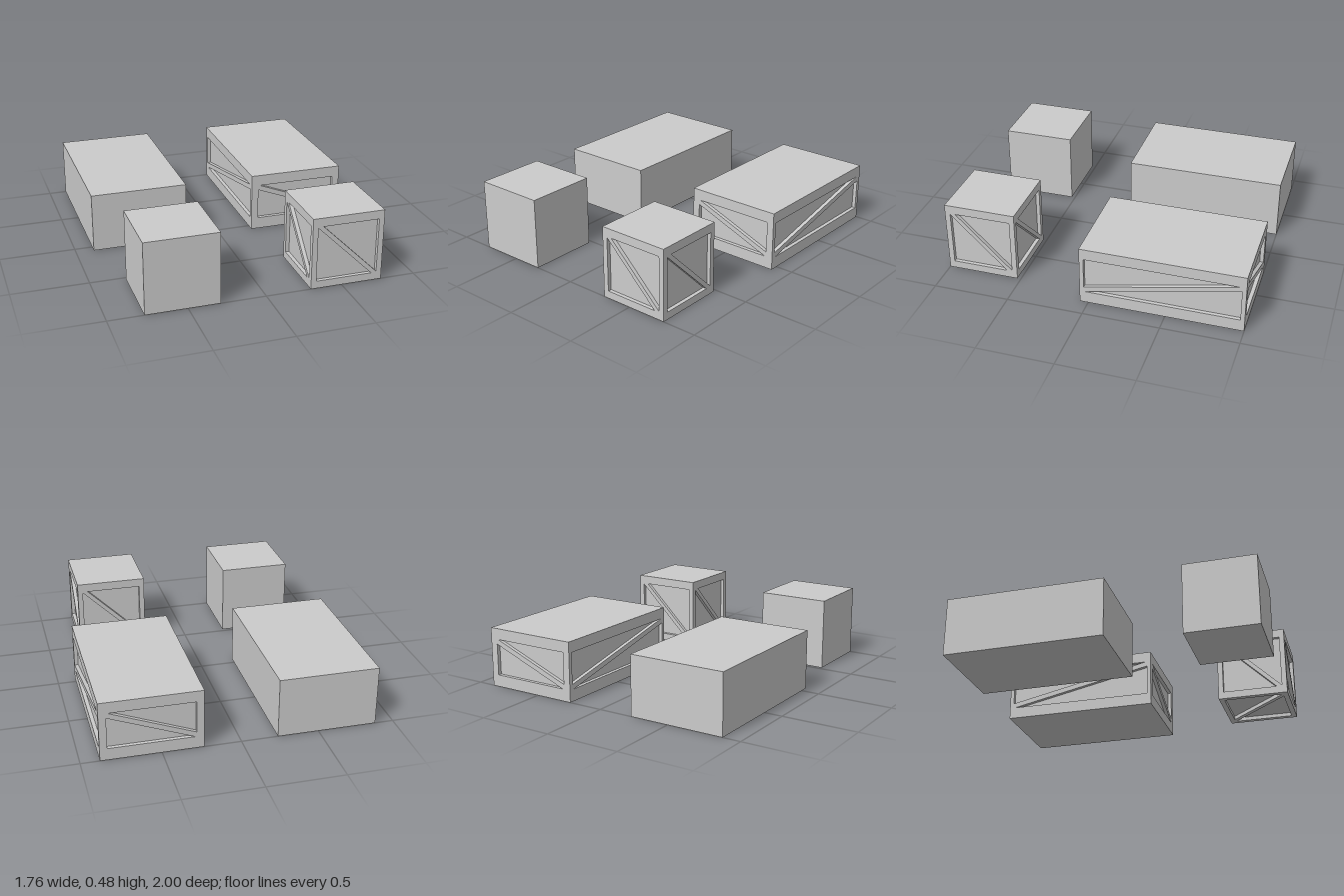
import * as THREE from 'three';
import { mergeGeometries } from 'three/addons/utils/BufferGeometryUtils.js';

const material = new THREE.MeshStandardMaterial({ color: 0xcccccc, flatShading: true });
const DEPTH = 0.025;

function named(geometry, name) {
  const mesh = new THREE.Mesh(geometry, material);
  mesh.name = name;
  return mesh;
}

// Two triangular recesses left and right of a diagonal brace.
// The brace runs top left to bottom right, or the other way when flipped.
function braceRecesses(x0, x1, y0, y1, gapX, gapY, flip = false) {
  const triangles = [
    [[x1, y1], [x0 + gapX, y1], [x1, y0 + gapY]],
    [[x0, y0], [x1 - gapX, y0], [x0, y1 - gapY]],
  ];
  return triangles.map((t) => {
    const points = t.map(([x, y]) => new THREE.Vector2(flip ? -x : x, y));
    return flip ? points.reverse() : points;
  });
}

// One crate face in the xy plane facing +z, with recesses sunk into it
function panelGeometry(w, h, recesses) {
  const face = new THREE.Shape();
  face.moveTo(-w / 2, -h / 2).lineTo(w / 2, -h / 2).lineTo(w / 2, h / 2).lineTo(-w / 2, h / 2).closePath();
  face.holes = recesses.map((points) => new THREE.Path(points));
  const parts = [new THREE.ShapeGeometry(face)];
  const walls = [];
  for (const points of recesses) {
    parts.push(new THREE.ShapeGeometry(new THREE.Shape(points)).translate(0, 0, -DEPTH));
    points.forEach((a, i) => {
      const b = points[(i + 1) % points.length];
      walls.push(a.x, a.y, 0, b.x, b.y, 0, b.x, b.y, -DEPTH);
      walls.push(a.x, a.y, 0, b.x, b.y, -DEPTH, a.x, a.y, -DEPTH);
    });
  }
  const flat = parts.map((g) => g.toNonIndexed().deleteAttribute('uv'));
  if (walls.length) {
    const wall = new THREE.BufferGeometry();
    wall.setAttribute('position', new THREE.Float32BufferAttribute(walls, 3));
    wall.computeVertexNormals();
    flat.push(wall);
  }
  return mergeGeometries(flat);
}

// Crate from six panels, resting on y = 0
function makeCrate(name, w, h, d, endRecesses, sideRecesses, bottomRecesses) {
  const crate = new THREE.Group();
  crate.name = name;
  ['frontPanel', 'leftPanel', 'backPanel', 'rightPanel'].forEach((label, i) => {
    const isSide = i % 2 === 1;
    const geometry = panelGeometry(isSide ? d : w, h, isSide ? sideRecesses : endRecesses);
    geometry.translate(0, h / 2, (isSide ? w : d) / 2).rotateY((i * Math.PI) / 2);
    crate.add(named(geometry, label));
  });
  crate.add(named(panelGeometry(w, d, []).rotateX(-Math.PI / 2).translate(0, h, 0), 'lid'));
  crate.add(named(panelGeometry(w, d, bottomRecesses).rotateX(Math.PI / 2), 'bottomPanel'));
  return crate;
}

// Plain box resting on y = 0
function makeBox(name, w, h, d) {
  return named(new THREE.BoxGeometry(w, h, d).translate(0, h / 2, 0), name);
}

export function createModel() {
  const model = new THREE.Group();
  model.name = 'crates';
  const S = 0.476;
  const [W, H, L] = [0.645, 0.395, 1.055];
  const smallX = 0.532, smallZ = 1 - S / 2;
  const largeX = 0.558, largeZ = -1 + L / 2;

  // Small cubic crate: braced on four sides and underneath
  const smallSide = braceRecesses(-0.203, 0.203, -0.188, 0.18, 0.035, 0.006);
  const smallBottom = braceRecesses(-0.203, 0.203, -0.203, 0.203, 0.035, 0.006);
  const smallCrate = makeCrate('smallCrate', S, S, S, smallSide, smallSide, smallBottom);
  smallCrate.position.set(smallX, 0, smallZ);

  // Long crate: braced on four sides, long sides braced the other way
  const largeEnd = braceRecesses(-0.275, 0.275, -0.118, 0.124, 0.01, 0.032);
  const largeSide = braceRecesses(-0.5, 0.5, -0.118, 0.124, 0.01, 0.033, true);
  const largeCrate = makeCrate('largeCrate', W, H, L, largeEnd, largeSide, []);
  largeCrate.position.set(largeX, 0, largeZ);

  // Plain counterparts
  const smallBox = makeBox('smallPlainBox', S, S, S);
  smallBox.position.set(-smallX, 0, smallZ);
  const largeBox = makeBox('largePlainBox', W, H, L);
  largeBox.position.set(-largeX, 0, largeZ);

  model.add(smallCrate, largeCrate, smallBox, largeBox);
  return model;
}
